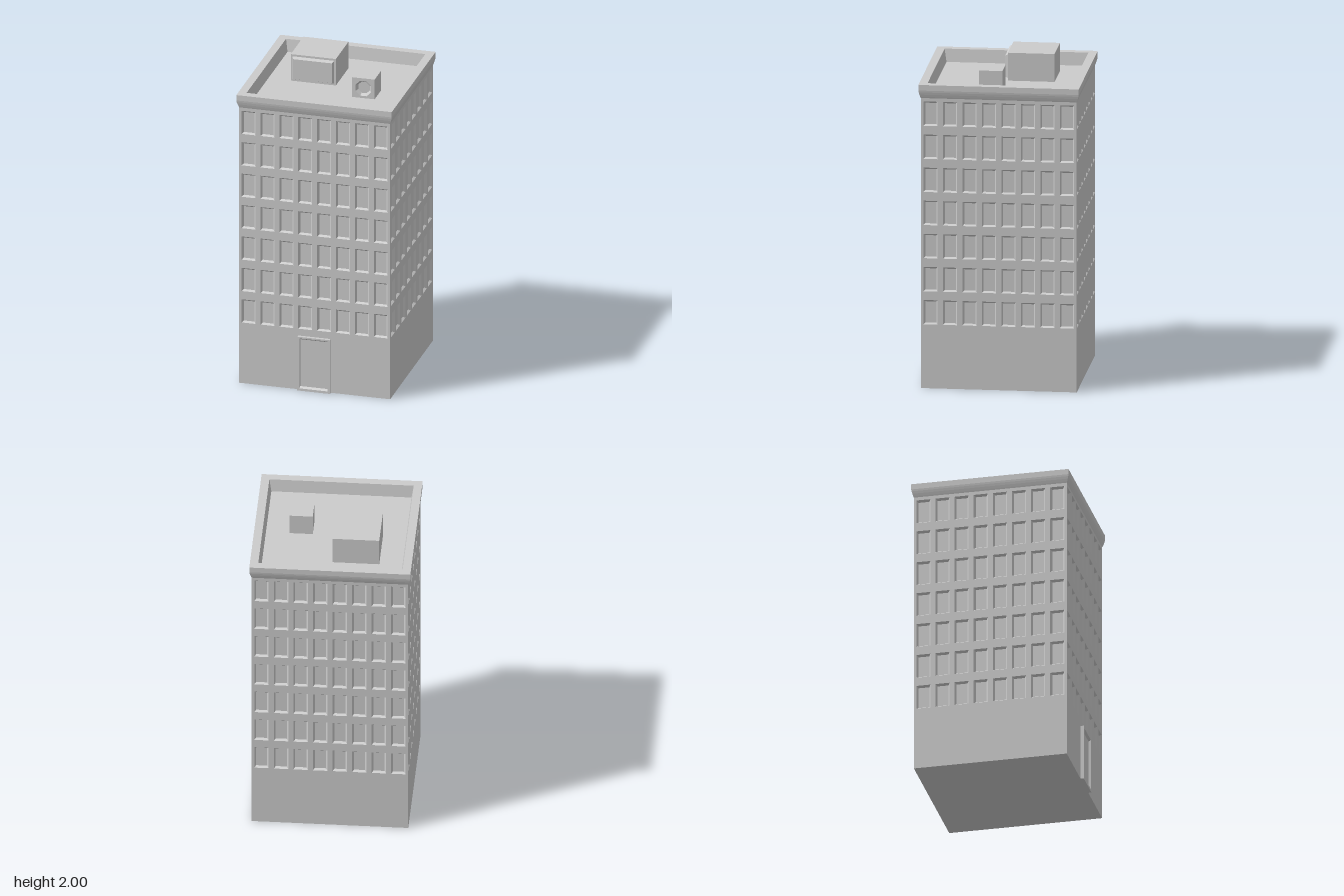
import * as THREE from 'three';
import { mergeGeometries } from 'three/addons/utils/BufferGeometryUtils.js';

const material = new THREE.MeshStandardMaterial({ color: 0xcccccc, flatShading: true });
const HALF = 0.478;      // half width of the tower
const WALL_TOP = 1.82;
const ROOF = 1.825;      // roof deck, below the parapet rim
const CENTRE_Z = -0.004;

function add(parent, name, geometry, x = 0, y = 0, z = 0) {
  const mesh = new THREE.Mesh(geometry, material);
  mesh.name = name;
  mesh.position.set(x, y, z);
  parent.add(mesh);
  return mesh;
}

// Counter-clockwise outlines at depth z
function rect(x0, y0, x1, y1, z) {
  return [[x0, y0, z], [x1, y0, z], [x1, y1, z], [x0, y1, z]];
}
function octagon(x, y, r, z) {
  return Array.from({ length: 8 }, (_, i) => {
    const a = (i + 0.5) * Math.PI / 4;
    return [x + r * Math.cos(a), y + r * Math.sin(a), z];
  });
}

// Joins outlines one after another and caps the last one, facing +z
function loft(rings) {
  const n = rings[0].length, index = [];
  for (let r = 0; r < rings.length - 1; r++) {
    for (let i = 0; i < n; i++) {
      const a = r * n + i, b = r * n + (i + 1) % n;
      index.push(a, b, b + n, a, b + n, a + n);
    }
  }
  const last = (rings.length - 1) * n;
  for (let i = 1; i < n - 1; i++) index.push(last, last + i, last + i + 1);
  const geometry = new THREE.BufferGeometry();
  geometry.setAttribute('position', new THREE.Float32BufferAttribute(rings.flat(2), 3));
  geometry.setIndex(index);
  const flat = geometry.toNonIndexed();
  flat.computeVertexNormals();
  return flat;
}

function outline(points, Type = THREE.Shape) {
  return new Type(points.map(([x, y]) => new THREE.Vector2(x, y)));
}

// One wall with its grid of openings, and the bevelled windows set into them
function wallGeometries() {
  const shape = outline(rect(-HALF, 0, HALF, WALL_TOP, 0));
  const windows = [];
  for (let row = 0; row < 7; row++) {
    for (let col = 0; col < 8; col++) {
      const x = (col - 3.5) * 0.1195, y = 0.4 + row * 0.2077;
      const edge = rect(x - 0.044, y, x + 0.044, y + 0.153, 0);
      shape.holes.push(outline(edge, THREE.Path));
      windows.push(loft([
        edge,
        rect(x - 0.034, y + 0.009, x + 0.034, y + 0.142, -0.014),
      ]));
    }
  }
  return [new THREE.ShapeGeometry(shape), mergeGeometries(windows)];
}

export function createModel() {
  const model = new THREE.Group();
  const building = new THREE.Group();
  building.name = 'building';
  building.position.z = CENTRE_Z;
  model.add(building);

  // Four matching sides
  const [wall, windows] = wallGeometries();
  ['front', 'left', 'back', 'right'].forEach((label, i) => {
    const side = new THREE.Group();
    side.name = label + 'Side';
    side.rotation.y = i * Math.PI / 2;
    add(side, label + 'Wall', wall, 0, 0, HALF);
    add(side, label + 'Windows', windows, 0, 0, HALF);
    building.add(side);
  });
  add(building, 'floor', new THREE.PlaneGeometry(2 * HALF, 2 * HALF)).rotation.x = Math.PI / 2;

  // Flared cornice, parapet and roof deck as one square profile
  const profile = [
    [HALF, WALL_TOP], [0.481, 1.828], [0.486, 1.843], [0.49, 1.858], [0.492, 1.87],
    [0.492, 1.905], [0.441, 1.905], [0.428, ROOF], [0, ROOF],
  ].map(([h, y]) => new THREE.Vector2(h * Math.SQRT2, y));
  add(building, 'corniceAndRoof', new THREE.LatheGeometry(profile, 4, Math.PI / 4).toNonIndexed());

  // Entrance: raised surround with a sunken door leaf
  add(building, 'door', loft([
    rect(-0.105, 0, 0.102, 0.355, HALF),
    rect(-0.105, 0, 0.102, 0.355, 0.498),
    rect(-0.09, 0.015, 0.087, 0.345, 0.498),
    rect(-0.089, 0.025, 0.086, 0.335, 0.484),
  ]));
  add(building, 'doorSill', new THREE.PlaneGeometry(0.207, 0.02), 0, 0, 0.488).rotation.x = Math.PI / 2;

  // Stair house with a bevelled front panel
  const stairHouse = new THREE.Group();
  stairHouse.name = 'stairHouse';
  building.add(stairHouse);
  add(stairHouse, 'stairHouseBody', new THREE.BoxGeometry(0.285, 2 - ROOF, 0.285),
    -0.1435, (2 + ROOF) / 2, -0.1425);
  add(stairHouse, 'stairHousePanel', loft([
    rect(-0.275, ROOF + 0.012, -0.012, 1.987, 0),
    rect(-0.267, ROOF + 0.021, -0.02, 1.977, 0.02),
  ]));

  // Ventilation unit with an octagonal opening
  const vent = new THREE.Group();
  vent.name = 'ventUnit';
  building.add(vent);
  const ventShape = outline(rect(0.142, ROOF, 0.285, 1.955, 0));
  const rim = octagon(0.2135, 1.888, 0.053, 0.144);
  ventShape.holes.push(outline(rim, THREE.Path));
  add(vent, 'ventBody', new THREE.ExtrudeGeometry(ventShape, { depth: 0.144, bevelEnabled: false }));
  add(vent, 'ventOpening', loft([rim, octagon(0.2135, 1.888, 0.04, 0.125)]));
  add(vent, 'ventBack', new THREE.PlaneGeometry(0.143, 1.955 - ROOF),
    0.2135, (1.955 + ROOF) / 2, -0.0005).rotation.y = Math.PI;

  return model;
}
